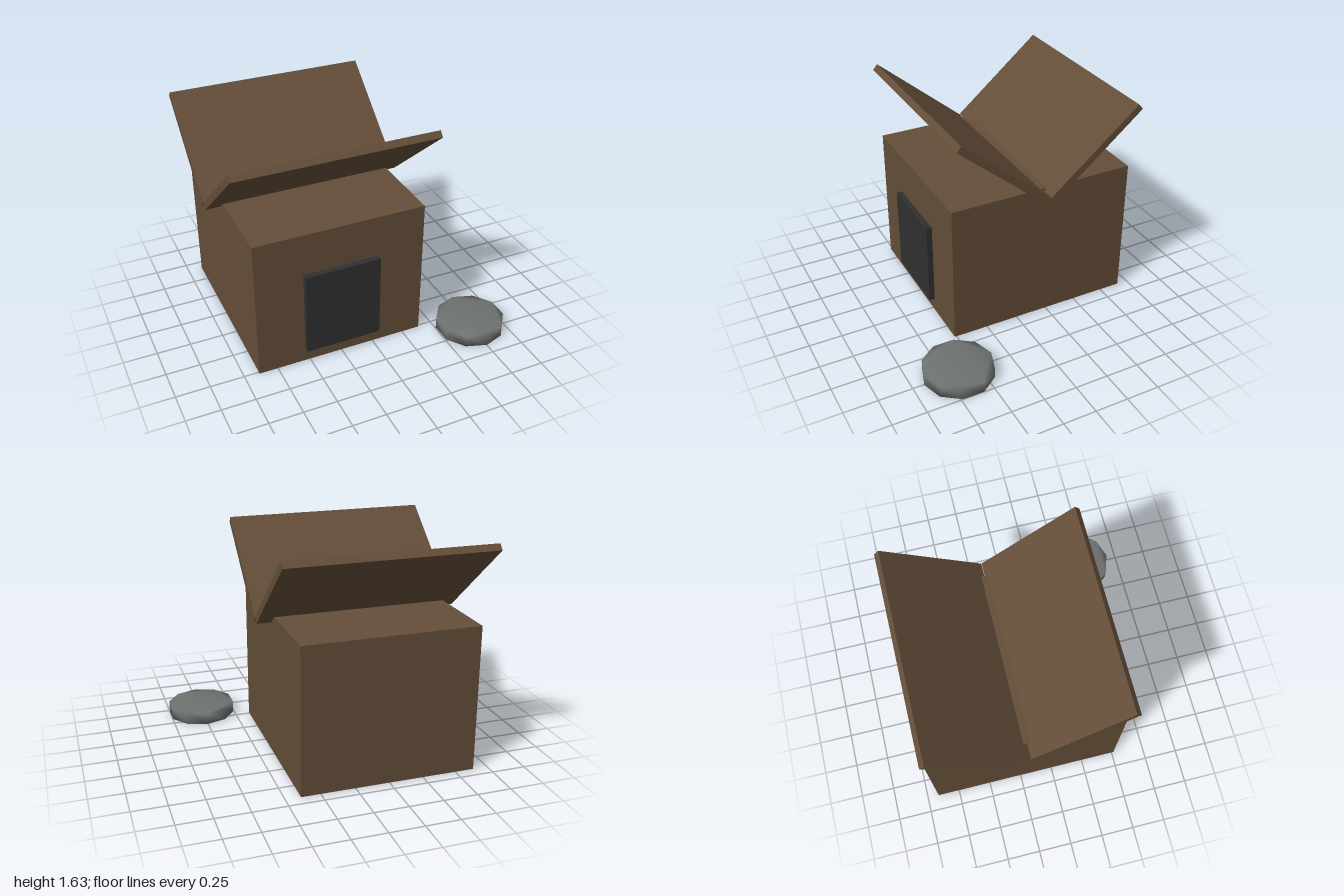
import * as THREE from 'three';
import { mergeVertices } from 'three/addons/utils/BufferGeometryUtils.js';

export function createModel() {
  const group = new THREE.Group();
  const material = (name, color) => {
    const m = new THREE.MeshStandardMaterial({ color });
    m.name = name;
    return m;
  };
  const wood = material('brown wood', 0x644e39);
  const charcoal = material('charcoal', 0x303030);
  const stone = material('grey stone', 0x6e7270);

  const add = (name, geometry, mat, x, y, z) => {
    const mesh = new THREE.Mesh(geometry, mat);
    mesh.name = name;
    mesh.position.set(x, y, z);
    group.add(mesh);
    return mesh;
  };

  // House body and the doorway slab on its front
  add('houseBody', new THREE.BoxGeometry(1.28, 1.075, 1.43), wood, -0.25, 0.5375, -0.2);
  add('doorway', new THREE.BoxGeometry(0.57, 0.645, 0.1), charcoal, -0.25, 0.432, 0.508);

  // Two roof boards rising outward from a central valley
  for (const side of [1, -1]) {
    const board = add(side > 0 ? 'frontRoofBoard' : 'backRoofBoard',
      new THREE.BoxGeometry(1.5, 0.053, 0.887), wood, -0.25, 1.32, -0.2 + side * 0.358);
    board.rotation.x = -side * THREE.MathUtils.degToRad(40);
  }

  // Ten-sided bowl, with normals shared between rim and caps for soft shading
  const outline = [];
  for (let i = 0; i < 10; i++) {
    const a = (i / 10) * Math.PI * 2 + Math.PI / 2;
    outline.push(new THREE.Vector2(0.258 * Math.cos(a), 0.258 * Math.sin(a)));
  }
  let bowl = new THREE.ExtrudeGeometry(new THREE.Shape(outline), { depth: 0.087, bevelEnabled: false });
  bowl.rotateX(-Math.PI / 2);
  bowl.deleteAttribute('normal');
  bowl.deleteAttribute('uv');
  bowl = mergeVertices(bowl, 1e-4);
  bowl.clearGroups();
  bowl.computeVertexNormals();
  add('bowl', bowl, stone, 0.753, 0, 0.658);

  return group;
}
